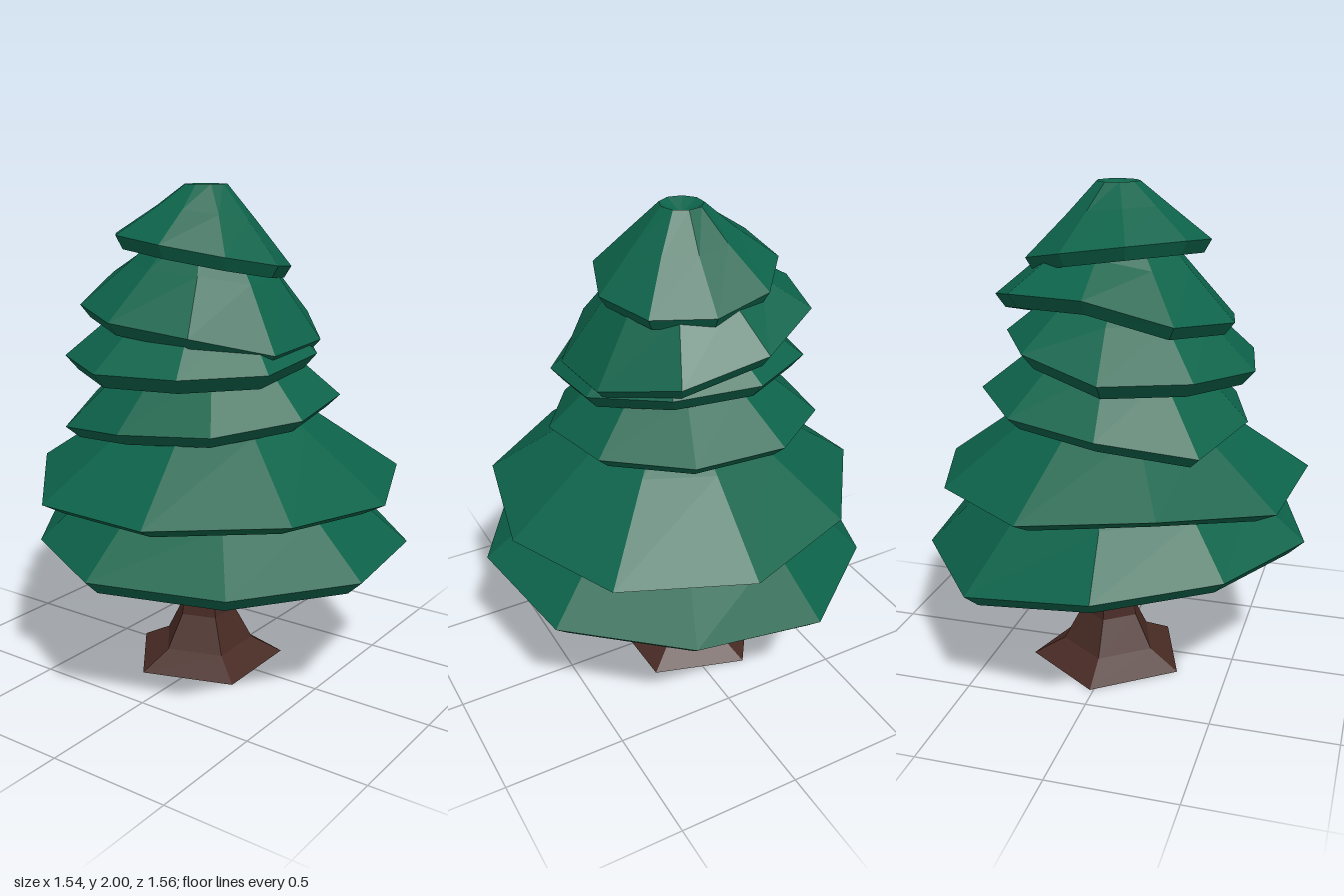
import * as THREE from 'three';

const foliage = new THREE.MeshStandardMaterial({ color: 0x0d634a, flatShading: true });
const bark = new THREE.MeshStandardMaterial({ color: 0x482a24, flatShading: true });

// Skin a stack of equal-length rings of points, facing outward when they climb
function loft(name, rings, material) {
  const pos = [];
  const tri = (a, b, c) => {
    if (new THREE.Triangle(a, b, c).getArea() > 1e-7) for (const p of [a, b, c]) pos.push(p.x, p.y, p.z);
  };
  for (let k = 0; k + 1 < rings.length; k++) {
    const lo = rings[k], hi = rings[k + 1], n = lo.length;
    for (let j = 0; j < n; j++) {
      const m = (j + 1) % n;
      tri(lo[j], hi[j], lo[m]);
      tri(lo[m], hi[j], hi[m]);
    }
  }
  const geo = new THREE.BufferGeometry();
  geo.setAttribute('position', new THREE.Float32BufferAttribute(pos, 3));
  geo.computeVertexNormals();
  const mesh = new THREE.Mesh(geo, material);
  mesh.name = name;
  return mesh;
}

// Horizontal polygon, optionally tilted; lift and out shift single corners up and outward
function ring(n, phase, cx, cz, r, y, tilt, lift = () => 0, out = () => 0) {
  return Array.from({ length: n }, (_, j) => {
    const a = THREE.MathUtils.degToRad(phase) + (j * 2 * Math.PI) / n;
    const c = Math.cos(a), s = Math.sin(a), rj = r + out(j);
    return new THREE.Vector3(cx + rj * c, y + tilt[0] * c + tilt[1] * s + lift(j), cz + rj * s);
  });
}

// Hollow skirt of branches: lining, lower lip, rim, shoulder, then the narrow top.
// lift and out name only the corners that leave the regular nine-sided rim.
function tier(name, { x = 0, z = 0, phase, r, y, tilt = [0, 0], lipR = 0.9, drop = 0.05,
  lift = {}, out = {}, shoulder, topR = 0.14, topY, peak = topY + 0.02 }) {
  const make = (radius, height, f, mix = 1) => ring(9, phase, x * mix, z * mix, radius, height,
    tilt.map((v) => v * f), (j) => (lift[j] ?? 0) * f, (j) => (out[j] ?? 0) * f);
  return loft(name, [
    make(0, topY - 0.07, 0, 0.5),
    make(topR * 0.9, topY - 0.08, 0, 0.5),
    make(r * lipR, y - drop, 0.95),
    make(r, y, 1),
    make(shoulder[0], shoulder[1], 0.45, 0.7),
    make(topR, topY, 0, 0.7),
    make(0, peak, 0, 0.7),
  ], foliage);
}

export function createModel() {
  const tree = new THREE.Group();
  tree.name = 'pineTree';

  // Five-sided trunk flaring into the roots, closed at both ends
  const trunkRings = [[0, 0], [0.33, 0], [0.2, 0.07], [0.125, 0.21], [0.085, 0.53], [0.05, 1.3], [0, 1.3]]
    .map(([r, y]) => ring(5, 53, 0.02, -0.065, r, y, [0, 0]));
  tree.add(loft('trunk', trunkRings, bark));

  // Small bent twig at the back of the trunk
  const twigRings = [[0.07, 0.36, -0.09, 0.022], [0.13, 0.37, -0.15, 0.017],
    [0.165, 0.4, -0.2, 0.014], [0.21, 0.42, -0.27, 0.005], [0.21, 0.42, -0.27, 0]]
    .map(([x, y, z, r]) => ring(5, 0, x, z, r, y, [-r * 0.5, r * 0.7]));
  tree.add(loft('twig', twigRings, bark));

  // Crown, from the broad bottom skirt to the blunt tip
  const crown = new THREE.Group();
  crown.name = 'crown';
  crown.add(tier('bottomBranches', { phase: 22, r: 0.795, y: 0.595, lipR: 0.92, drop: 0.06,
    lift: { 1: -0.025, 2: -0.015, 7: -0.095, 8: -0.085 }, out: { 0: 0.015, 4: -0.015, 5: -0.07 },
    shoulder: [0.56, 0.78], topY: 1.1 }));
  crown.add(tier('secondBranches', { phase: 4, r: 0.765, y: 0.83, tilt: [-0.01, -0.02], lipR: 0.88,
    lift: { 1: 0.02, 3: 0.02, 5: -0.03, 6: 0.03 }, out: { 1: 0.025, 2: -0.02, 4: 0.02, 6: -0.04, 8: -0.03 },
    shoulder: [0.41, 1.08], topY: 1.26 }));
  crown.add(tier('thirdBranches', { z: -0.04, phase: 23, r: 0.54, y: 1.145, tilt: [0.05, 0.01],
    lift: { 5: -0.05 }, out: { 5: 0.04 }, shoulder: [0.32, 1.34], topY: 1.5 }));
  crown.add(tier('fourthBranches', { x: -0.075, z: -0.06, phase: 30, r: 0.505, y: 1.37, tilt: [0.05, 0],
    drop: 0.06, lift: { 1: -0.025, 2: -0.025, 6: -0.035 }, shoulder: [0.33, 1.52], topY: 1.66 }));
  crown.add(tier('fifthBranches', { x: -0.01, z: -0.06, phase: -10, r: 0.485, y: 1.51, tilt: [0.03, -0.12],
    lipR: 0.92, lift: { 4: 0.04, 6: -0.05 }, out: { 7: -0.02 }, shoulder: [0.3, 1.69], topY: 1.85 }));
  crown.add(tier('topBranches', { x: -0.01, z: -0.06, phase: 10, r: 0.36, y: 1.745, tilt: [-0.05, -0.045],
    lipR: 0.92, shoulder: [0.2, 1.89], topR: 0.085, topY: 2, peak: 1.96 }));
  tree.add(crown);
  return tree;
}
